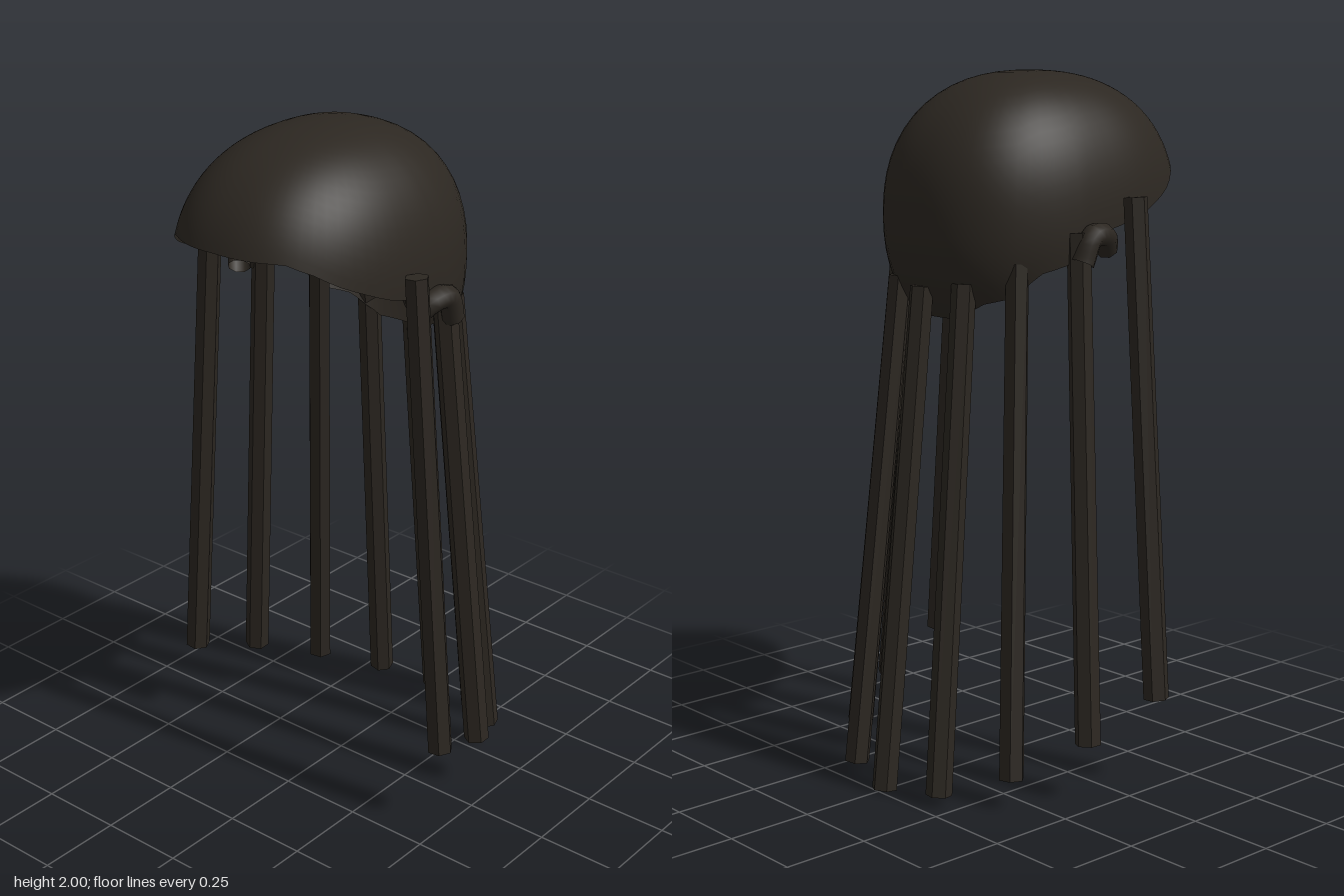
import * as THREE from 'three';

const material = new THREE.MeshStandardMaterial({ color: 0x2c2721, side: THREE.DoubleSide });
const lockMaterial = new THREE.MeshStandardMaterial({ color: 0x2c2721, flatShading: true });

// Cap: rounded-square ellipsoid, cut off along a rim that drops from brow to nape
const N = 2.3;
const CAP = { y: 1.6, z: 0.07, rx: 0.337, ry: 0.4, front: 0.463, back: 0.43 };
// [degrees from the front, rim height]
const RIM = [[0, 1.745], [34, 1.74], [45, 1.71], [55, 1.67], [74, 1.605], [86, 1.58], [99, 1.56],
  [106, 1.49], [122, 1.46], [130, 1.4], [145, 1.38], [155, 1.35], [165, 1.33], [180, 1.33]];

function rimHeight(degrees) {
  const k = Math.max(1, RIM.findIndex(([d]) => d >= degrees - 1e-6));
  const [d0, y0] = RIM[k - 1], [d1, y1] = RIM[k];
  return THREE.MathUtils.lerp(y0, y1, (degrees - d0) / (d1 - d0));
}

// Point of the unit superellipse at an angle
function squircle(angle) {
  const s = Math.sin(angle), c = Math.cos(angle);
  const n = Math.pow(Math.abs(s) ** N + Math.abs(c) ** N, 1 / N);
  return [s / n, c / n];
}

function createCap() {
  const rows = 20, cols = 72, positions = [], index = [];
  for (let i = 0; i <= rows; i++) {
    for (let j = 0; j < cols; j++) {
      const degrees = (j / cols) * 360;
      const dy = (rimHeight(Math.min(degrees, 360 - degrees)) - CAP.y) / CAP.ry;
      const rimAngle = Math.atan2(Math.pow(1 - Math.abs(dy) ** N, 1 / N), dy);
      const [r, h] = squircle(rimAngle * i / rows);
      const [px, pz] = squircle(THREE.MathUtils.degToRad(degrees));
      positions.push(px * r * CAP.rx, CAP.y + h * CAP.ry,
        CAP.z + pz * r * (pz > 0 ? CAP.front : CAP.back));
      if (i < rows) {
        const a = i * cols + j, d = i * cols + (j + 1) % cols;
        if (i > 0) index.push(a, d + cols, d);
        index.push(a, a + cols, d + cols);
      }
    }
  }
  const geometry = new THREE.BufferGeometry();
  geometry.setAttribute('position', new THREE.Float32BufferAttribute(positions, 3));
  geometry.setIndex(index);
  geometry.computeVertexNormals();
  const cap = new THREE.Mesh(geometry, material);
  cap.name = 'hairCap';
  return cap;
}

// Straight six-sided lock with one edge turned outwards
function createLock(top, bottom, name) {
  const a = new THREE.Vector3(...top), b = new THREE.Vector3(...bottom);
  const up = a.clone().sub(b);
  const lock = new THREE.Mesh(new THREE.CylinderGeometry(0.034, 0.037, up.length(), 6), lockMaterial);
  const yAxis = up.clone().normalize();
  const outward = new THREE.Vector3(b.x - a.x, 0, b.z - a.z);
  const zAxis = outward.addScaledVector(yAxis, -outward.dot(yAxis)).normalize();
  const xAxis = new THREE.Vector3().crossVectors(yAxis, zAxis);
  lock.quaternion.setFromRotationMatrix(new THREE.Matrix4().makeBasis(xAxis, yAxis, zAxis));
  lock.position.copy(a).add(b).multiplyScalar(0.5);
  lock.name = name;
  return lock;
}

// Short curl arching over the ear
function createCurl(side) {
  const path = new THREE.CatmullRomCurve3([[0.315, 1.52, 0.075], [0.345, 1.56, 0.035],
    [0.355, 1.56, -0.02], [0.35, 1.49, -0.05]].map(([x, y, z]) => new THREE.Vector3(side * x, y, z)));
  const curl = new THREE.Mesh(new THREE.TubeGeometry(path, 12, 0.033, 8), material);
  curl.name = side > 0 ? 'leftEarCurl' : 'rightEarCurl';
  return curl;
}

export function createModel() {
  const model = new THREE.Group();
  model.name = 'lockedHair';
  model.add(createCap());

  // Locks fanned around the back, mirrored left and right
  model.add(createLock([0, 1.42, -0.325], [0, 0.004, -0.478], 'backLock'));
  const pairs = [
    [[0.135, 1.435, -0.29], [0.183, 0.025, -0.432]],
    [[0.242, 1.49, -0.192], [0.335, 0.08, -0.298]],
    [[0.325, 1.57, -0.042], [0.437, 0.16, -0.103]],
    [[0.366, 1.66, 0.134], [0.475, 0.25, 0.13]],
  ];
  for (const side of [1, -1]) {
    pairs.forEach((ends, i) => {
      const [top, bottom] = ends.map(([x, y, z]) => [side * x, y, z]);
      model.add(createLock(top, bottom, `${side > 0 ? 'left' : 'right'}Lock${i + 1}`));
    });
    model.add(createCurl(side));
  }
  return model;
}
